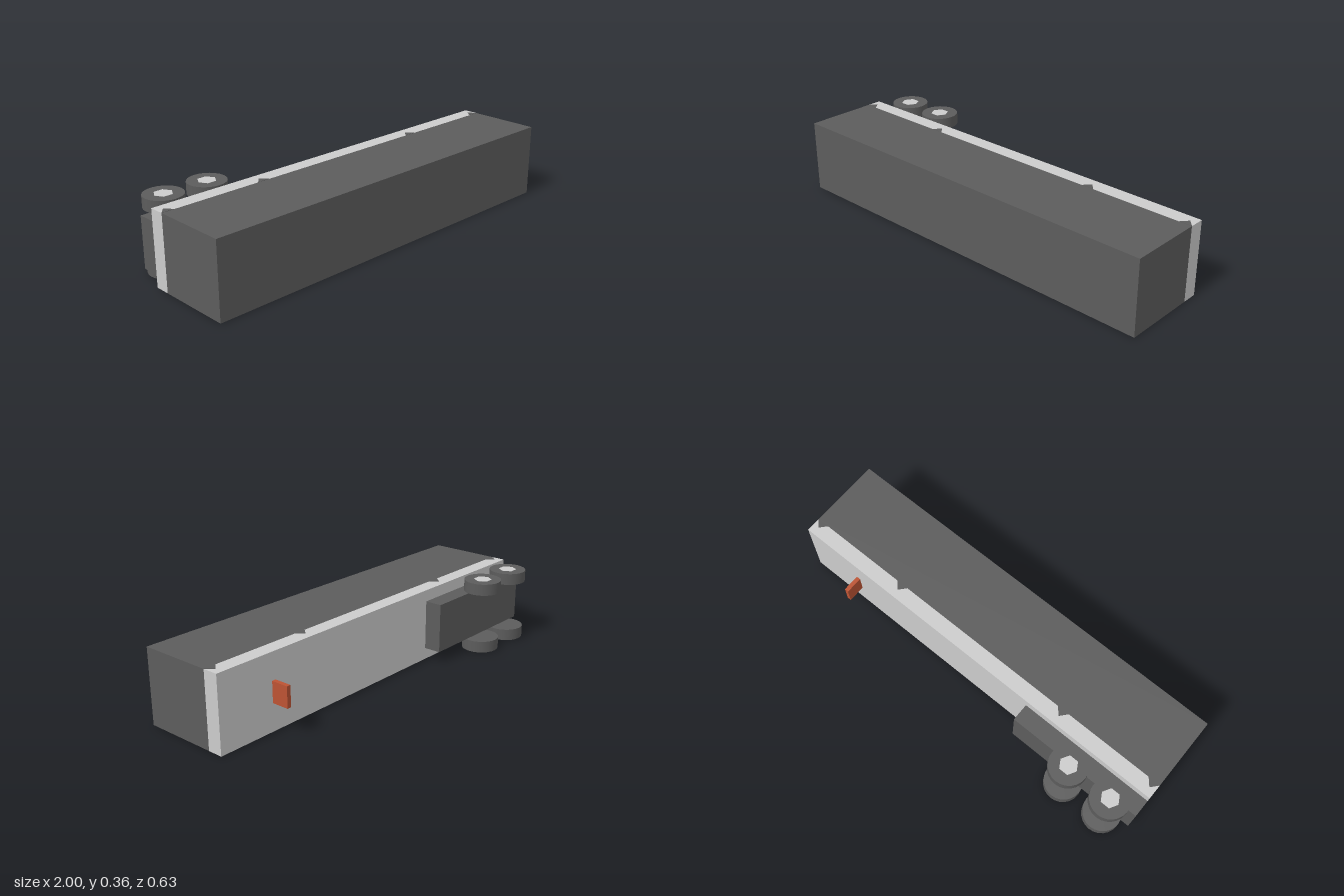
import * as THREE from 'three';

const H = 0.357; // overall height

export function createModel() {
  const model = new THREE.Group();
  model.name = 'trailer';
  const mat = (color, flatShading = true) => new THREE.MeshStandardMaterial({ color, flatShading });
  const dark = mat(0x5c5c5c), rubber = mat(0x5c5c5c, false), light = mat(0xcccccc), red = mat(0xbc5333);

  const add = (name, geometry, material, x, y, z) => {
    const mesh = new THREE.Mesh(geometry, material);
    mesh.name = name;
    mesh.position.set(x, y, z);
    model.add(mesh);
    return mesh;
  };
  // Box given by its min and max corners
  const box = (name, material, [x0, y0, z0], [x1, y1, z1]) =>
    add(name, new THREE.BoxGeometry(x1 - x0, y1 - y0, z1 - z0), material,
      (x0 + x1) / 2, (y0 + y1) / 2, (z0 + z1) / 2);

  // Cargo body and the pale floor frame behind it
  box('cargoBody', dark, [-1, 0, -0.042], [1, H, 0.313]);
  box('floorFrame', light, [-1, 0, -0.115], [1, H, -0.042]);

  // Triangular brackets on both long sides of the frame
  const tri = new THREE.Shape([
    new THREE.Vector2(-0.03, 0), new THREE.Vector2(0.03, 0), new THREE.Vector2(0, 0.035),
  ]);
  const bracket = new THREE.ExtrudeGeometry(tri, { depth: 0.004, bevelEnabled: false });
  bracket.rotateX(-Math.PI / 2); // apex towards -z, thickness along +y
  for (const x of [-0.97, -0.475, 0.47, 0.97])
    for (const y of [-0.001, H - 0.003]) add('sideBracket', bracket, dark, x, y, -0.042);

  // Wheel carriage and coupling plate
  box('wheelCarriage', dark, [-1, 0.058, -0.2], [-0.325, 0.3, -0.115]);
  box('couplingPlate', red, [0.69, 0.13, -0.2], [0.71, 0.23, -0.115]);

  // Two pairs of wheels with hexagonal hubs on the outer faces
  const tyre = new THREE.CylinderGeometry(0.091, 0.091, 0.057, 24);
  const hub = new THREE.CylinderGeometry(0.044, 0.044, 0.01, 6).rotateY(Math.PI / 6);
  for (const x of [-0.87, -0.645])
    for (const top of [false, true]) {
      add('wheel', tyre, rubber, x, top ? H - 0.0285 : 0.0285, -0.222);
      add('wheelHub', hub, light, x, top ? H - 0.004 : 0.004, -0.222);
    }
  return model;
}
